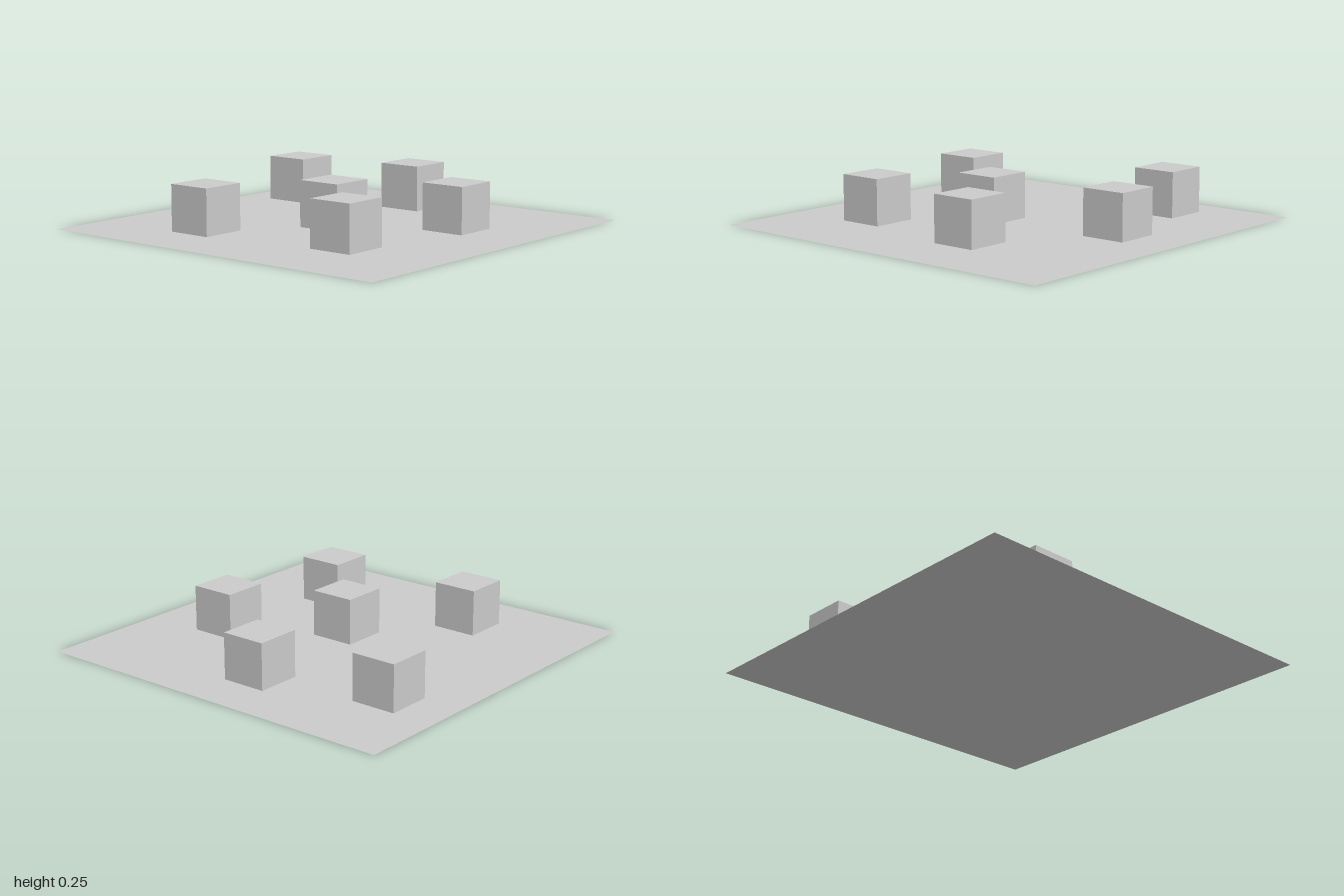
import * as THREE from 'three';

const SIZE = 0.237; // cube edge
const GAP = 0.008; // cubes hover just above the ground sheet

// Cube centres as [x, z]
const CUBES = [
  [-0.676, -0.477],
  [-0.035, -0.648],
  [0.556, -0.225],
  [0.038, 0.097],
  [0.45, 0.502],
  [-0.362, 0.596],
];

export function createModel() {
  const group = new THREE.Group();

  // Flat square ground sheet, seen from both sides
  const ground = new THREE.Mesh(
    new THREE.PlaneGeometry(2, 2).rotateX(-Math.PI / 2),
    new THREE.MeshStandardMaterial({ color: 0xcccccc, side: THREE.DoubleSide })
  );
  ground.name = 'groundPlane';
  group.add(ground);

  // Identical cubes scattered over the ground
  const cubeGeometry = new THREE.BoxGeometry(SIZE, SIZE, SIZE);
  const cubeMaterial = new THREE.MeshStandardMaterial({ color: 0xcccccc });
  CUBES.forEach(([x, z], i) => {
    const cube = new THREE.Mesh(cubeGeometry, cubeMaterial);
    cube.name = `cube${i + 1}`;
    cube.position.set(x, GAP + SIZE / 2, z);
    group.add(cube);
  });

  return group;
}
